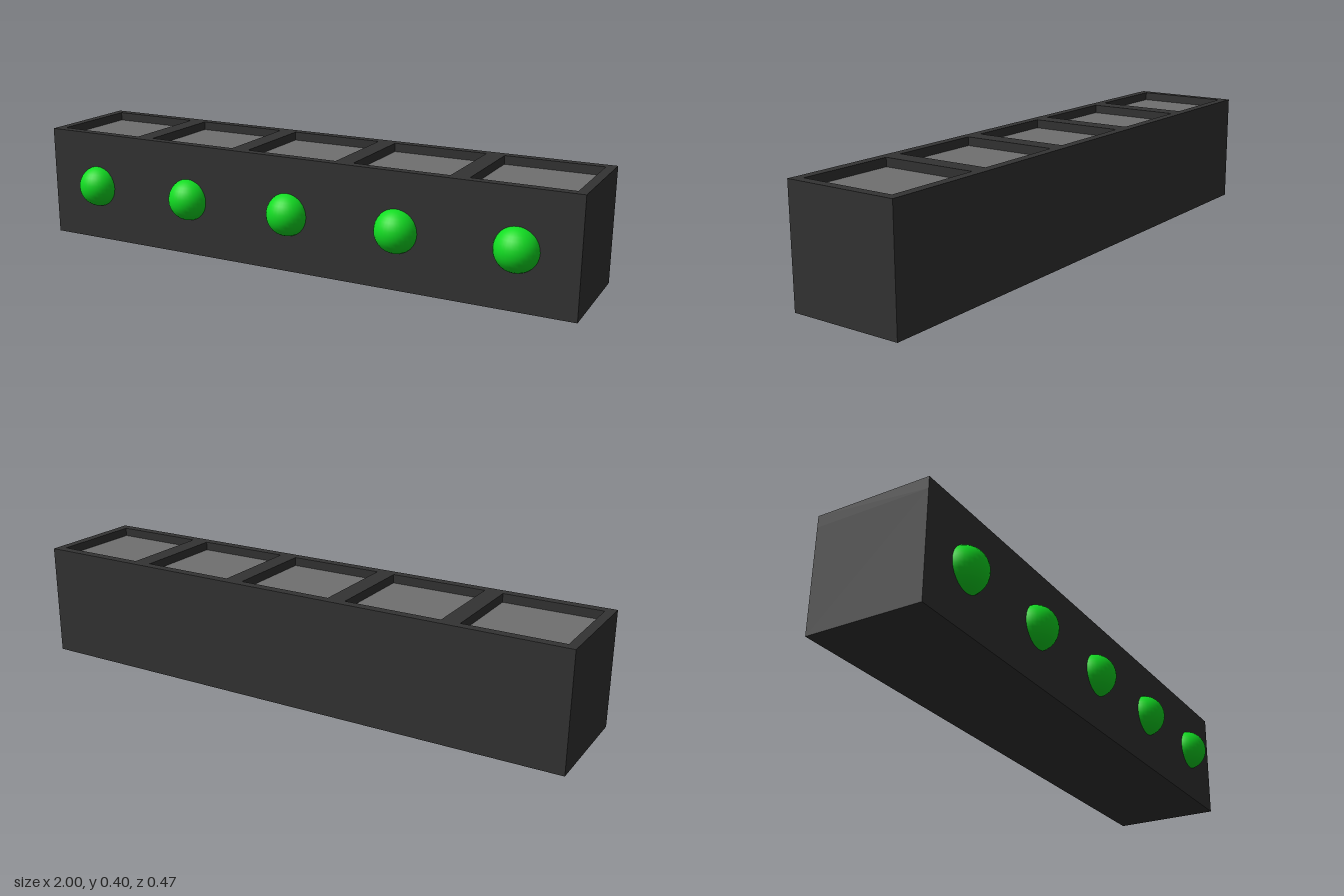
import * as THREE from 'three';

const W = 2, H = 0.4, D = 0.4;   // casing size
const FLOOR = 0.36;              // top of the solid base, below the rim
const CELL = 0.336, PITCH = 0.4, COUNT = 5;
const CENTRE_Z = -0.033;         // casing sits back to make room for the domes

function rect(path, cx, w, h) {
  path.moveTo(cx - w / 2, -h / 2);
  path.lineTo(cx + w / 2, -h / 2);
  path.lineTo(cx + w / 2, h / 2);
  path.lineTo(cx - w / 2, h / 2);
  path.closePath();
  return path;
}

export function createModel() {
  const model = new THREE.Group();
  const dark = new THREE.MeshStandardMaterial({ color: 0x333333 });
  const grey = new THREE.MeshStandardMaterial({ color: 0x707070 });
  const green = new THREE.MeshStandardMaterial({ color: 0x11dd22 });

  const add = (name, geometry, material, x, y, z) => {
    const mesh = new THREE.Mesh(geometry, material);
    mesh.name = name;
    mesh.position.set(x, y, z);
    model.add(mesh);
    return mesh;
  };
  const centres = Array.from({ length: COUNT }, (_, i) => (i - (COUNT - 1) / 2) * PITCH);

  // Solid lower casing
  add('casing', new THREE.BoxGeometry(W, FLOOR, D), dark, 0, FLOOR / 2, CENTRE_Z);

  // Top frame with a square opening for each panel
  const outline = rect(new THREE.Shape(), 0, W, D);
  centres.forEach((x) => outline.holes.push(rect(new THREE.Path(), x, CELL, CELL)));
  const frame = new THREE.ExtrudeGeometry(outline, { depth: H - FLOOR, bevelEnabled: false });
  frame.rotateX(-Math.PI / 2);
  add('topFrame', frame, dark, 0, FLOOR, CENTRE_Z);

  // Recessed panels and the indicator domes on the front
  const panel = new THREE.BoxGeometry(CELL, 0.01, CELL);
  const dome = new THREE.SphereGeometry(0.075, 32, 16);
  centres.forEach((x, i) => {
    add(`panel${i + 1}`, panel, grey, x, FLOOR + 0.005, CENTRE_Z);
    add(`indicatorDome${i + 1}`, dome, green, x, 0.201, 0.158);
  });

  return model;
}
